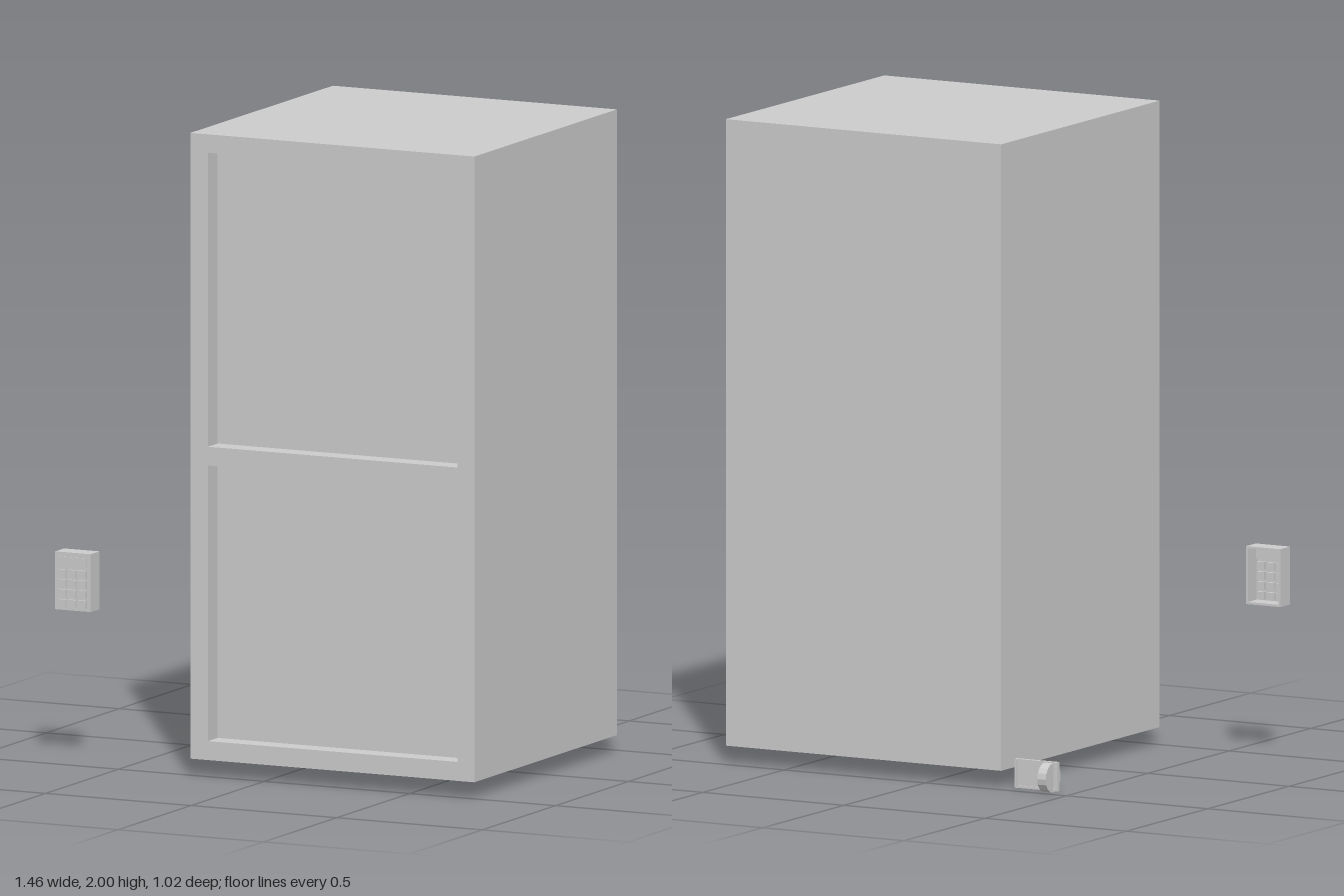
import * as THREE from 'three';

const material = new THREE.MeshStandardMaterial({ color: 0xcccccc, flatShading: true });

function add(parent, name, geometry) {
  const mesh = new THREE.Mesh(geometry, material);
  mesh.name = name;
  parent.add(mesh);
  return mesh;
}

// Box given by its minimum and maximum corners
function box(parent, name, x0, x1, y0, y1, z0, z1) {
  const mesh = add(parent, name, new THREE.BoxGeometry(x1 - x0, y1 - y0, z1 - z0));
  mesh.position.set((x0 + x1) / 2, (y0 + y1) / 2, (z0 + z1) / 2);
  return mesh;
}

function trace(path, [x0, x1, y0, y1]) {
  path.moveTo(x0, y0);
  path.lineTo(x1, y0);
  path.lineTo(x1, y1);
  path.lineTo(x0, y1);
  path.closePath();
  return path;
}

// Rectangular frame with rectangular openings, from z0 to z1
function frame(parent, name, outer, openings, z0, z1) {
  const shape = trace(new THREE.Shape(), outer);
  for (const o of openings) shape.holes.push(trace(new THREE.Path(), o));
  const geometry = new THREE.ExtrudeGeometry(shape, { depth: z1 - z0, bevelEnabled: false });
  add(parent, name, geometry).position.z = z0;
}

function group(parent, name) {
  const g = new THREE.Group();
  g.name = name;
  parent.add(g);
  return g;
}

export function createModel() {
  const model = new THREE.Group();
  model.name = 'safeCabinet';

  // Tall cabinet with two shallow door recesses in the front
  const cabinet = group(model, 'cabinet');
  box(cabinet, 'cabinetBody', -0.25, 0.725, 0.053, 2, -0.468, 0.44);
  frame(cabinet, 'frontFrame', [-0.25, 0.725, 0.053, 2],
    [[-0.19, 0.667, 0.112, 0.97], [-0.19, 0.667, 1.028, 1.943]], 0.44, 0.507);

  // Keypad: case open at the back, display and keys set through its face
  const keypad = group(model, 'keypad');
  frame(keypad, 'keypadCase', [-0.73, -0.608, 0.477, 0.657],
    [[-0.723, -0.615, 0.484, 0.65]], 0.415, 0.47);
  box(keypad, 'keypadFace', -0.73, -0.608, 0.477, 0.657, 0.47, 0.476);
  box(keypad, 'display', -0.717, -0.621, 0.615, 0.643, 0.455, 0.479);
  for (let row = 0; row < 4; row++) {
    for (let col = 0; col < 3; col++) {
      const x = -0.717 + col * 0.035;
      const y = 0.487 + row * 0.031;
      box(keypad, 'key', x, x + 0.026, y, y + 0.024, 0.458, 0.484);
    }
  }

  // Handle: round knob on a thin upright plate with a raised rim behind
  const handle = group(model, 'handle');
  box(handle, 'handlePlate', -0.45, -0.298, 0.005, 0.095, -0.464, -0.456);
  frame(handle, 'plateRim', [-0.45, -0.298, 0.005, 0.095],
    [[-0.443, -0.305, 0.012, 0.088]], -0.469, -0.464);
  const knob = add(handle, 'knob', new THREE.CylinderGeometry(0.046, 0.046, 0.03, 16));
  knob.rotation.z = Math.PI / 2;
  knob.position.set(-0.419, 0.046, -0.467);

  return model;
}
